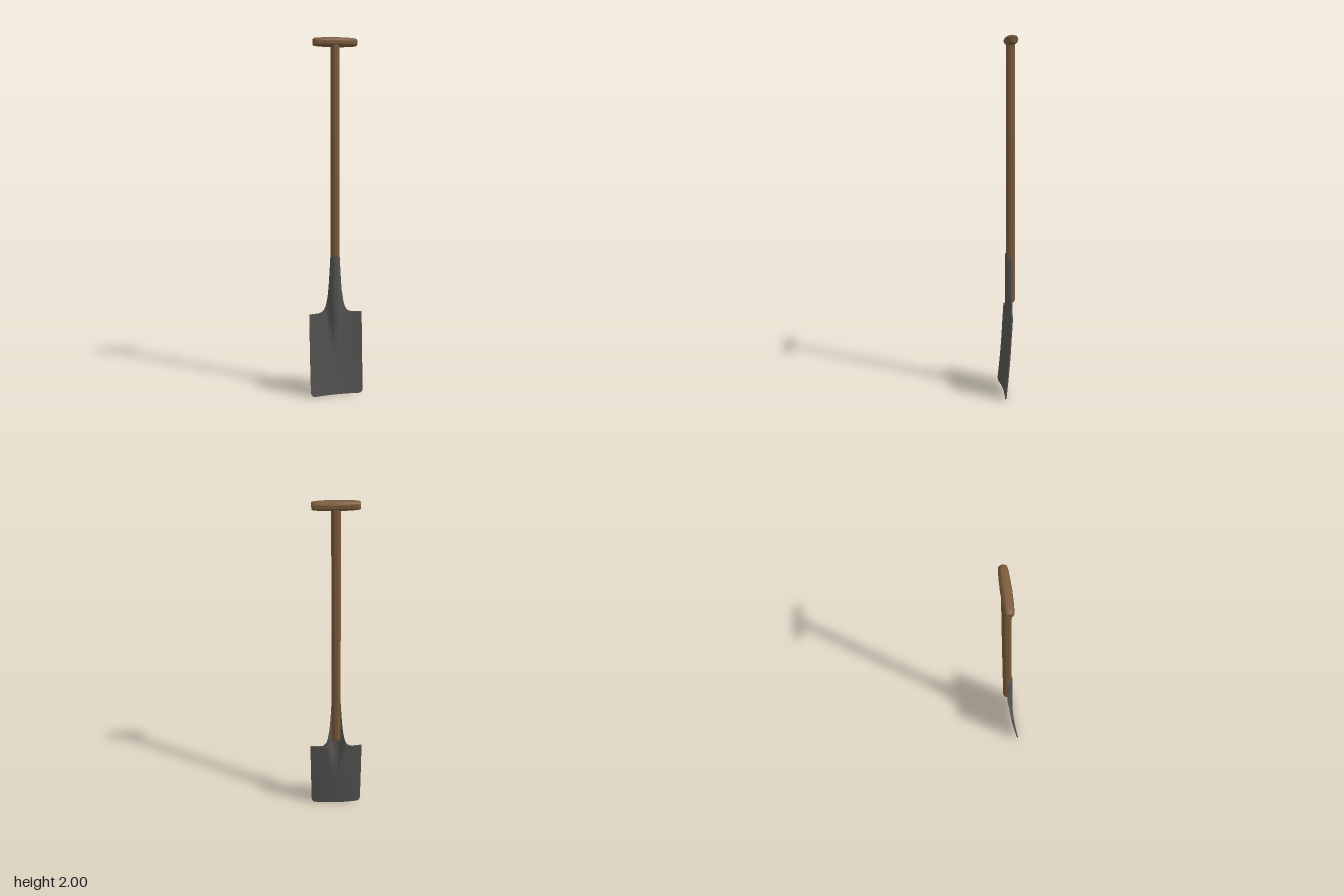
import * as THREE from 'three';
import { toCreasedNormals } from 'three/addons/utils/BufferGeometryUtils.js';

const wood = new THREE.MeshStandardMaterial({ color: 0x7a5a3a });
wood.name = 'wood';
const steel = new THREE.MeshStandardMaterial({ color: 0x565452 });
steel.name = 'steel';

const { lerp, smoothstep } = THREE.MathUtils;
const SHAFT_Z = -0.013;

// Turned wooden part from [radius, height] points
function turned(name, points) {
  const geometry = new THREE.LatheGeometry(points.map(p => new THREE.Vector2(...p)), 28);
  const mesh = new THREE.Mesh(toCreasedNormals(geometry, 0.7), wood);
  mesh.name = name;
  return mesh;
}

// Front surface of the blade and socket
function surfaceZ(x, y, w) {
  const curl = 0.032 * Math.pow(Math.max(0, 1 - y / 0.42), 1.5);
  const base = lerp(-0.003, -0.012, smoothstep(y, 0.35, 0.56)) + curl;
  const dish = 0.013 * (x / 0.152) ** 2;
  const neck = smoothstep(y, 0.47, 0.6);
  const ridge = 0.031 * smoothstep(y, 0.24, 0.55);
  const reach = lerp(lerp(0.018, 0.05, smoothstep(y, 0.26, 0.5)), w, neck);
  const c = Math.max(0, Math.cos(Math.PI / 2 * Math.min(1, Math.abs(x) / reach)));
  return base + dish + ridge * Math.pow(c, lerp(1.6, 0.5, neck));
}

// Thin pressed sheet: a grid of rows with varying half width
function sheetGeometry() {
  const outline = [[0, 0.128], [0.003, 0.14], [0.01, 0.147], [0.02, 0.151], [0.035, 0.152]];
  for (let y = 0.06; y < 0.47; y += 0.025) outline.push([y, 0.152]);
  outline.push([0.476, 0.152], [0.477, 0.095], [0.482, 0.078], [0.492, 0.066], [0.51, 0.056],
    [0.535, 0.049], [0.57, 0.043], [0.61, 0.038], [0.66, 0.034], [0.71, 0.031], [0.76, 0.028],
    [0.8, 0.026], [0.808, 0.023], [0.812, 0.017]);
  const cols = 40, stride = cols + 1, count = outline.length * stride, thick = 0.007;
  const pos = [], index = [];
  for (const back of [0, thick]) {
    for (const [y, w] of outline) {
      for (let j = 0; j <= cols; j++) {
        const u = j / cols * 2 - 1;
        const x = w * Math.sign(u) * Math.pow(Math.abs(u), 1.3);
        pos.push(x, y, surfaceZ(x, y, w) - back);
      }
    }
  }
  const quad = (a, b, c, d) => index.push(a, b, c, a, c, d);
  const last = outline.length - 1;
  for (let i = 0; i < last; i++) {
    for (let j = 0; j < cols; j++) {
      const a = i * stride + j, b = a + 1, c = b + stride, d = a + stride;
      quad(a, b, c, d);
      quad(b + count, a + count, d + count, c + count);
    }
    // side rims
    const l = i * stride, r = l + cols;
    quad(l + count, l, l + stride, l + stride + count);
    quad(r, r + count, r + stride + count, r + stride);
  }
  // bottom and top rims
  for (let j = 0; j < cols; j++) {
    const t = last * stride + j;
    quad(j + count, j + 1 + count, j + 1, j);
    quad(t, t + 1, t + 1 + count, t + count);
  }
  const geometry = new THREE.BufferGeometry();
  geometry.setAttribute('position', new THREE.Float32BufferAttribute(pos, 3));
  geometry.setIndex(index);
  return toCreasedNormals(geometry, 0.7);
}

export function createModel() {
  const spade = new THREE.Group();
  spade.name = 'spade';

  // Long round shaft with a softened lower end
  const shaft = turned('shaft', [[0, 0.53], [0.02, 0.53], [0.024, 0.535], [0.025, 0.545],
    [0.025, 1.4], [0.024, 1.965], [0, 1.965]]);
  shaft.position.z = SHAFT_Z;
  spade.add(shaft);

  // Barrel-shaped crossbar grip
  const grip = turned('crossbarGrip', [[0, -0.12], [0.017, -0.12], [0.0205, -0.116], [0.023, -0.1],
    [0.0255, -0.06], [0.027, 0], [0.0255, 0.06], [0.023, 0.1], [0.0205, 0.116], [0.017, 0.12], [0, 0.12]]);
  grip.rotation.z = Math.PI / 2;
  grip.position.set(0, 1.973, SHAFT_Z - 0.001);
  spade.add(grip);

  // Blade and socket pressed from one sheet
  const blade = new THREE.Mesh(sheetGeometry(), steel);
  blade.name = 'bladeAndSocket';
  spade.add(blade);

  return spade;
}
